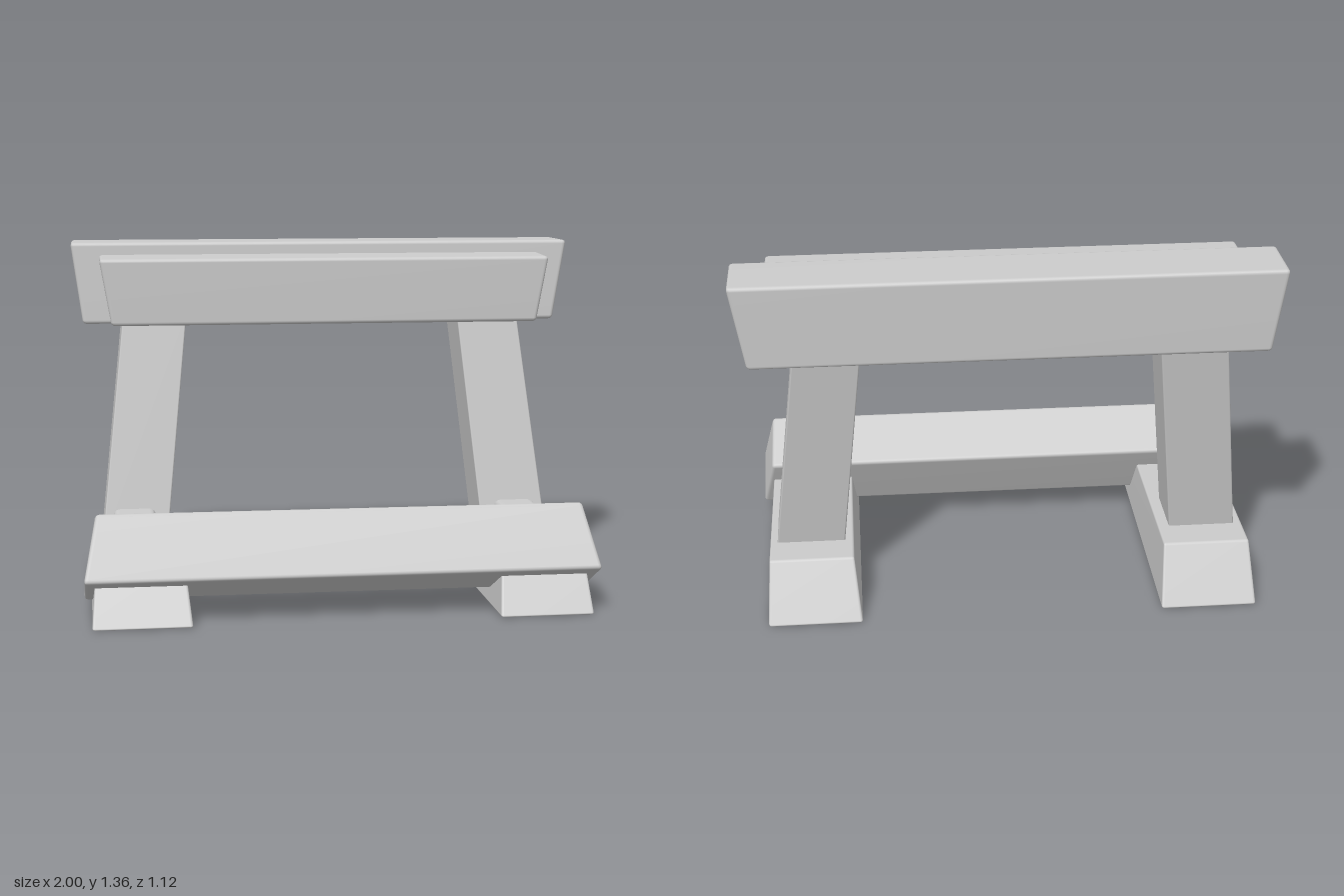
import * as THREE from 'three';
import { mergeVertices } from 'three/addons/utils/BufferGeometryUtils.js';
import { RoundedBoxGeometry } from 'three/addons/geometries/RoundedBoxGeometry.js';

const grey = new THREE.MeshStandardMaterial({ color: 0xcccccc });
grey.name = 'plain grey';

// Hewn timber block with softened edges. Each corner line runs along x and is
// given as [z, y, xRight, xLeft], in order: back bottom, front bottom, front top, back top.
function timber(name, lines, radius) {
  const [bb, fb, ft, bt] = lines;
  const dist = (a, b) => Math.hypot(a[0] - b[0], a[1] - b[1]);
  const w = bb[3] - bb[2], h = dist(bb, bt), d = dist(bb, fb);
  let geo = new RoundedBoxGeometry(w, h, d, 2, radius);
  const pos = geo.attributes.position;
  for (let i = 0; i < pos.count; i++) {
    const u = pos.getX(i) / w + 0.5, v = pos.getY(i) / h + 0.5, t = pos.getZ(i) / d + 0.5;
    const mix = k => THREE.MathUtils.lerp(
      THREE.MathUtils.lerp(bb[k], fb[k], t),
      THREE.MathUtils.lerp(bt[k], ft[k], t), v);
    pos.setXYZ(i, THREE.MathUtils.lerp(mix(2), mix(3), u), mix(1), mix(0));
  }
  // Shared vertices give area-weighted normals: flat faces, soft edges
  geo.deleteAttribute('normal');
  geo.deleteAttribute('uv');
  geo = mergeVertices(geo, 1e-5);
  geo.computeVertexNormals();
  const mesh = new THREE.Mesh(geo, grey);
  mesh.name = name;
  return mesh;
}

export function createModel() {
  const model = new THREE.Group();
  model.name = 'bench';

  // The two ends differ slightly, as in hand-cut timber: x ranges per side
  const sides = [
    { name: 'right', foot: [-0.94, -0.575], footTop: [-0.925, -0.595],
      post: [-0.895, -0.64], postTop: [-0.80, -0.55], rail: [-0.85, -0.685] },
    { name: 'left', foot: [0.565, 0.92], footTop: [0.59, 0.91],
      post: [0.625, 0.885], postTop: [0.54, 0.785], rail: [0.675, 0.835] },
  ];
  for (const s of sides) {
    const end = new THREE.Group();
    end.name = s.name + 'End';
    end.add(
      // Sloped foot
      timber('foot', [
        [-0.565, 0, ...s.foot], [0.565, 0, ...s.foot],
        [0.445, 0.19, ...s.footTop], [-0.44, 0.217, ...s.footTop]], 0.01),
      // Leaning post
      timber('post', [
        [-0.298, 0.19, ...s.post], [-0.056, 0.19, ...s.post],
        [-0.205, 1.06, ...s.postTop], [-0.447, 1.06, ...s.postTop]], 0.006),
      // Small rail joining the post to the seat
      timber('rail', [
        [-0.13, 0.17, ...s.rail], [0.275, 0.17, ...s.rail],
        [0.275, 0.315, ...s.rail], [-0.13, 0.32, ...s.rail]], 0.025));
    model.add(end);
  }

  // Tilted lower beam
  model.add(timber('lowerBeam', [
    [0.31, 0.053, -0.968, 0.958], [0.535, 0.167, -0.968, 0.958],
    [0.402, 0.4, -0.92, 0.908], [0.193, 0.28, -0.935, 0.912]], 0.015));

  // Twin upper beams
  model.add(timber('backBeam', [
    [-0.48, 1.03, -0.955, 0.945], [-0.24, 1.035, -0.955, 0.945],
    [-0.25, 1.355, -1, 1], [-0.497, 1.355, -1, 1]], 0.015));
  model.add(timber('frontBeam', [
    [-0.25, 1.035, -0.845, 0.835], [-0.06, 1.042, -0.845, 0.835],
    [-0.05, 1.3, -0.89, 0.88], [-0.255, 1.308, -0.89, 0.88]], 0.015));

  return model;
}
